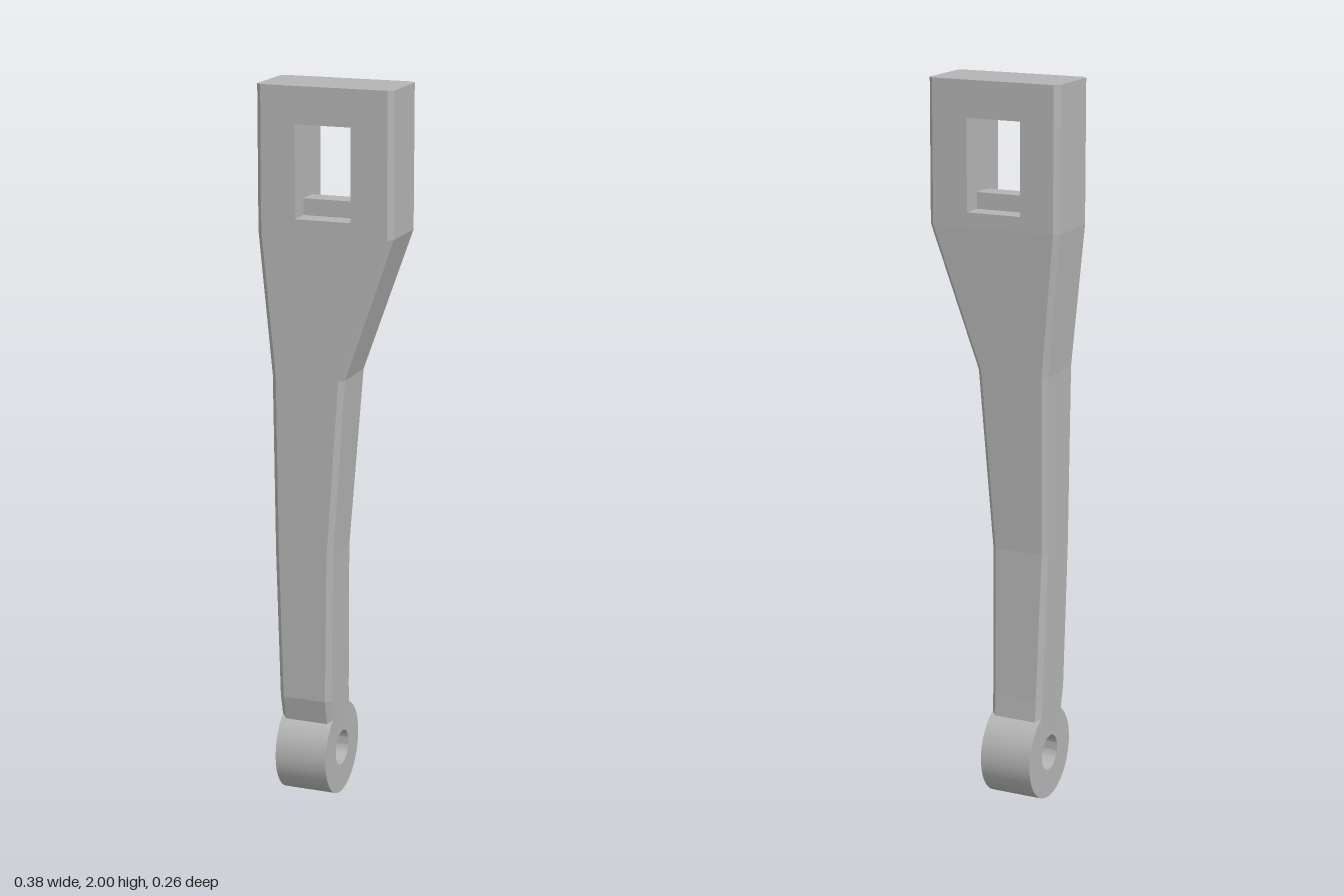
import * as THREE from 'three';
import { toCreasedNormals } from 'three/addons/utils/BufferGeometryUtils.js';

const CHAMFER = 0.014;
const WINDOW = { left: -0.08, right: 0.075, bottom: 1.65, top: 1.9 };

// Arm sections from bottom to top: y, left x, right x, back z, front z
const SECTIONS = [
  [0.19, -0.137, 0.012, -0.072, 0.075],
  [0.3, -0.138, 0.013, -0.064, 0.1],
  [0.72, -0.146, 0.021, -0.046, 0.108],
  [1.22, -0.152, 0.055, -0.064, 0.108],
  [1.61, -0.19, 0.19, -0.078, 0.108],
  [WINDOW.bottom, -0.19, 0.19, -0.078, 0.108],
  [WINDOW.top, -0.19, 0.19, -0.078, 0.108],
  [2, -0.19, 0.19, -0.078, 0.108],
];

// Chamfered rectangle, with extra points in line with the window sides
function ring([y, l, r, b, f]) {
  const c = CHAMFER;
  const wl = l + (r - l) * (WINDOW.left + 0.19) / 0.38;
  const wr = l + (r - l) * (WINDOW.right + 0.19) / 0.38;
  return [
    [l + c, f], [wl, f], [wr, f], [r - c, f], [r, f - c], [r, b + c],
    [r - c, b], [wr, b], [wl, b], [l + c, b], [l, b + c], [l, f - c],
  ].map(([x, z]) => [x, y, z]);
}

function armGeometry() {
  const rings = SECTIONS.map(ring);
  const pos = [];
  const tri = (a, b, c) => pos.push(...a, ...b, ...c);
  const quad = (a, b, c, d) => { tri(a, b, c); tri(a, c, d); };

  for (let k = 0; k < rings.length - 1; k++) {
    const lo = rings[k], hi = rings[k + 1], n = lo.length;
    const hasWindow = SECTIONS[k][0] === WINDOW.bottom;
    for (let i = 0; i < n; i++) {
      if (hasWindow && (i === 1 || i === 7)) continue;
      const j = (i + 1) % n;
      quad(lo[i], lo[j], hi[j], hi[i]);
    }
    // Window lining
    if (hasWindow) {
      quad(lo[1], lo[2], lo[7], lo[8]);
      quad(hi[8], hi[7], hi[2], hi[1]);
      quad(lo[1], lo[8], hi[8], hi[1]);
      quad(lo[7], lo[2], hi[2], hi[7]);
    }
  }

  // End caps
  const first = rings[0], last = rings[rings.length - 1];
  for (let i = 1; i < first.length - 1; i++) {
    tri(last[0], last[i], last[i + 1]);
    tri(first[0], first[i + 1], first[i]);
  }

  const g = new THREE.BufferGeometry();
  g.setAttribute('position', new THREE.Float32BufferAttribute(pos, 3));
  g.computeVertexNormals();
  return g;
}

export function createModel() {
  const group = new THREE.Group();
  group.name = 'leverArm';
  const grey = new THREE.MeshStandardMaterial({ color: 0xb4b4b4 });
  grey.name = 'grey';
  const add = (name, geometry, x, y, z) => {
    const mesh = new THREE.Mesh(geometry, grey);
    mesh.name = name;
    mesh.position.set(x, y, z);
    group.add(mesh);
  };

  // Tapered arm with the square window
  add('arm', armGeometry(), 0, 0, 0);

  // Bar across the window floor
  const width = WINDOW.right - WINDOW.left;
  add('windowLedge', new THREE.BoxGeometry(width, 0.045, 0.064),
    (WINDOW.left + WINDOW.right) / 2, WINDOW.bottom + 0.0225, 0.014);

  // Pivot eye with its axis along x
  const h = 0.0745;
  const profile = [[0.05, -h], [0.13, -h], [0.13, h], [0.05, h], [0.05, -h]]
    .map(([r, y]) => new THREE.Vector2(r, y));
  const eye = toCreasedNormals(new THREE.LatheGeometry(profile, 64), 0.5);
  eye.rotateZ(Math.PI / 2);
  add('pivotEye', eye, -0.0625, 0.13, 0);

  return group;
}
